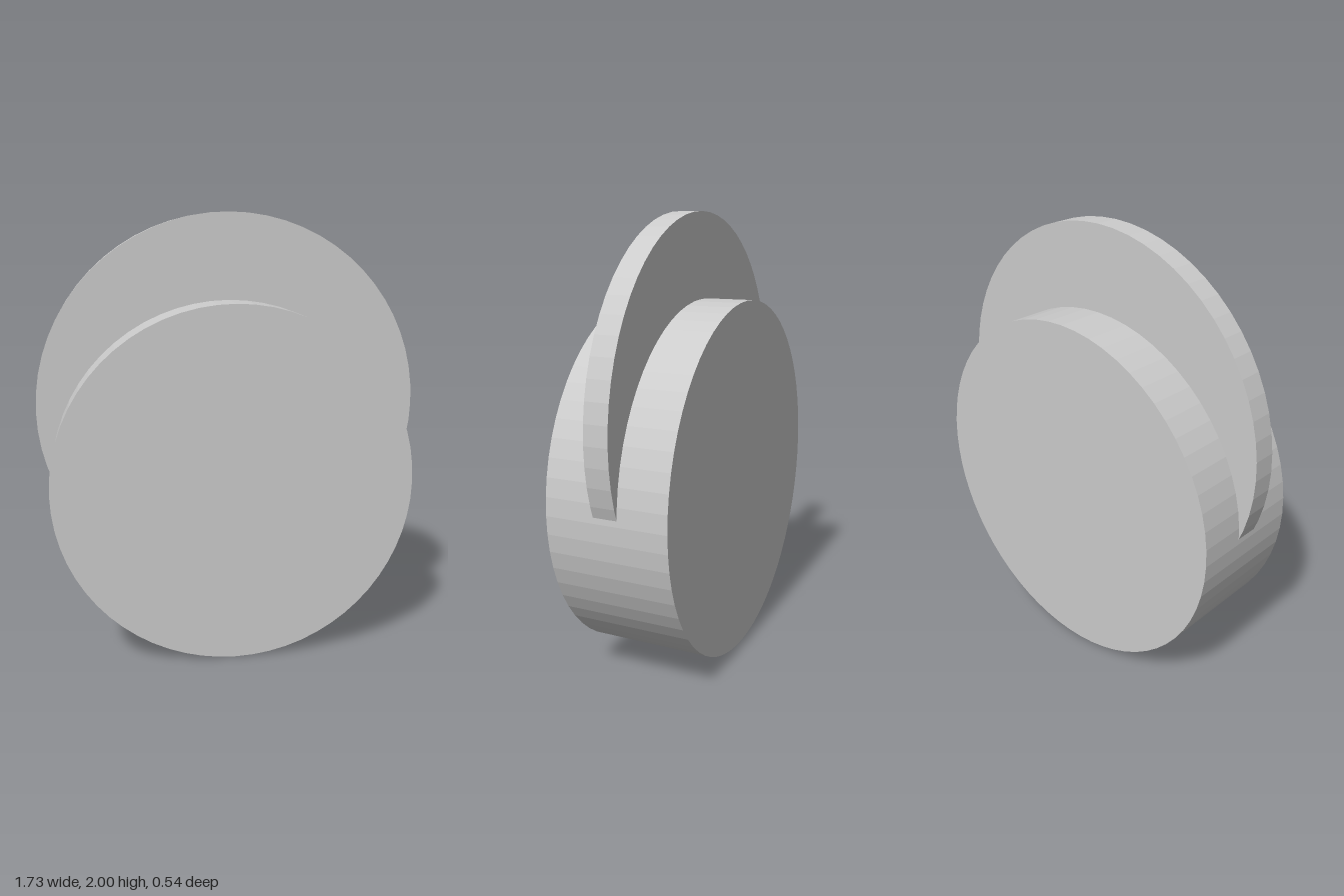
import * as THREE from 'three';

const material = new THREE.MeshStandardMaterial({ color: 0xcccccc, flatShading: true });

// Upright disc with its axis along z
function disc(name, radius, depth, centreY) {
  const geometry = new THREE.CylinderGeometry(radius, radius, depth, 64);
  geometry.rotateX(Math.PI / 2);
  const mesh = new THREE.Mesh(geometry, material);
  mesh.name = name;
  mesh.position.y = centreY;
  return mesh;
}

export function createModel() {
  const group = new THREE.Group();
  group.name = 'discs';

  // Thick drum standing on the ground
  group.add(disc('drum', 0.81, 0.54, 0.81));

  // Thin, larger plate set through the middle of the drum and raised above it
  group.add(disc('plate', 0.864, 0.106, 1.136));

  return group;
}
